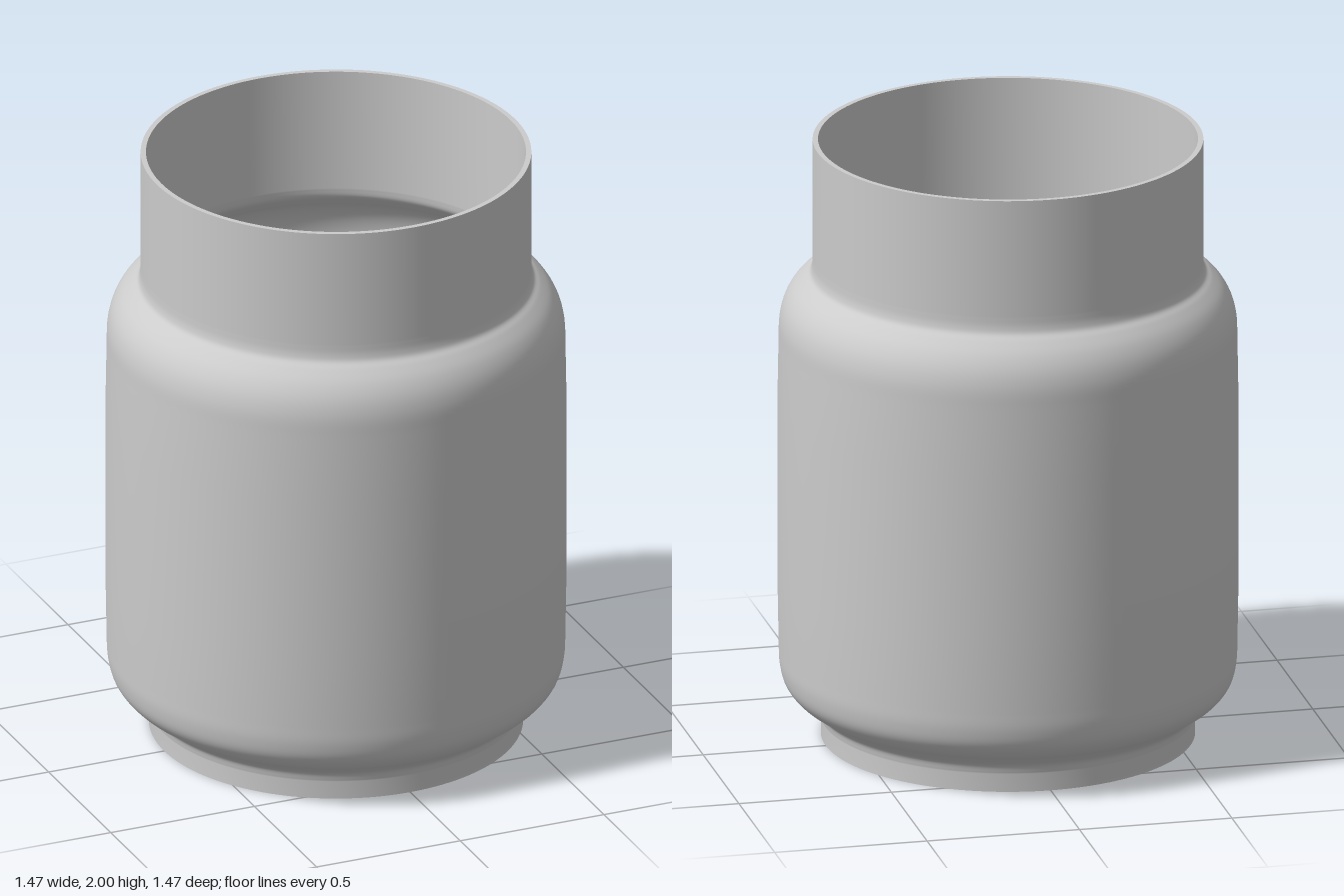
import * as THREE from 'three';

const SEGMENTS = 128;
const material = new THREE.MeshStandardMaterial({ color: 0xcccccc });

// Each lathe is one smooth run of the section; separate runs keep the edges sharp.
function lathe(name, points) {
  const profile = points.map(([r, y]) => new THREE.Vector2(r, y));
  const mesh = new THREE.Mesh(new THREE.LatheGeometry(profile, SEGMENTS), material);
  mesh.name = name;
  return mesh;
}

// Smooths a few guide points into a rounded profile.
function smooth(points, count) {
  const curve = new THREE.CatmullRomCurve3(
    points.map(([r, y]) => new THREE.Vector3(r, y, 0)), false, 'centripetal');
  return curve.getPoints(count).map((p) => [p.x, p.y]);
}

export function createModel() {
  const model = new THREE.Group();
  model.name = 'jar';

  // Outer shell: foot, flared base, barrel, shoulder and straight neck
  const base = smooth([[0.598, 0.06], [0.607, 0.09], [0.64, 0.118], [0.685, 0.15],
    [0.716, 0.19], [0.73, 0.245], [0.733, 0.32]], 36);
  const shoulder = smooth([[0.733, 1.32], [0.73, 1.4], [0.716, 1.455], [0.69, 1.5],
    [0.655, 1.535], [0.633, 1.553], [0.626, 1.575], [0.624, 1.61]], 36);
  model.add(lathe('outerShell', [
    [0.598, 0], ...base, [0.737, 0.55], [0.737, 1.1], ...shoulder, [0.624, 2],
  ]));

  // Neck rim
  model.add(lathe('rim', [[0.624, 2], [0.607, 2]]));

  // Inner wall, following the shell down to the floor
  const innerShoulder = smooth([[0.607, 1.59], [0.613, 1.558], [0.64, 1.527],
    [0.672, 1.495], [0.698, 1.45], [0.712, 1.395], [0.715, 1.32]], 30);
  const innerBase = smooth([[0.715, 0.32], [0.71, 0.25], [0.695, 0.2],
    [0.66, 0.16], [0.61, 0.14]], 24);
  model.add(lathe('innerWall', [[0.607, 2], ...innerShoulder, ...innerBase]));

  // Floor: flat border rising through a soft slope to a central plateau
  const floor = [[0.61, 0.14]];
  for (let i = 0; i <= 20; i++) {
    const t = i / 20;
    floor.push([0.48 - 0.3 * t, 0.14 + 0.06 * t * t * (3 - 2 * t)]);
  }
  floor.push([0, 0.2]);
  model.add(lathe('floor', floor));

  // Small round knob at the centre of the floor
  const knob = new THREE.Mesh(new THREE.SphereGeometry(0.05, 32, 20), material);
  knob.name = 'knob';
  knob.position.y = 0.23;
  model.add(knob);

  // Recessed underside inside a thin foot ring
  model.add(lathe('footInnerWall', [[0.582, 0.05], [0.582, 0]]));
  model.add(lathe('footRing', [[0.582, 0], [0.598, 0]]));
  model.add(lathe('underside', [[0, 0.05], [0.582, 0.05]]));

  return model;
}
